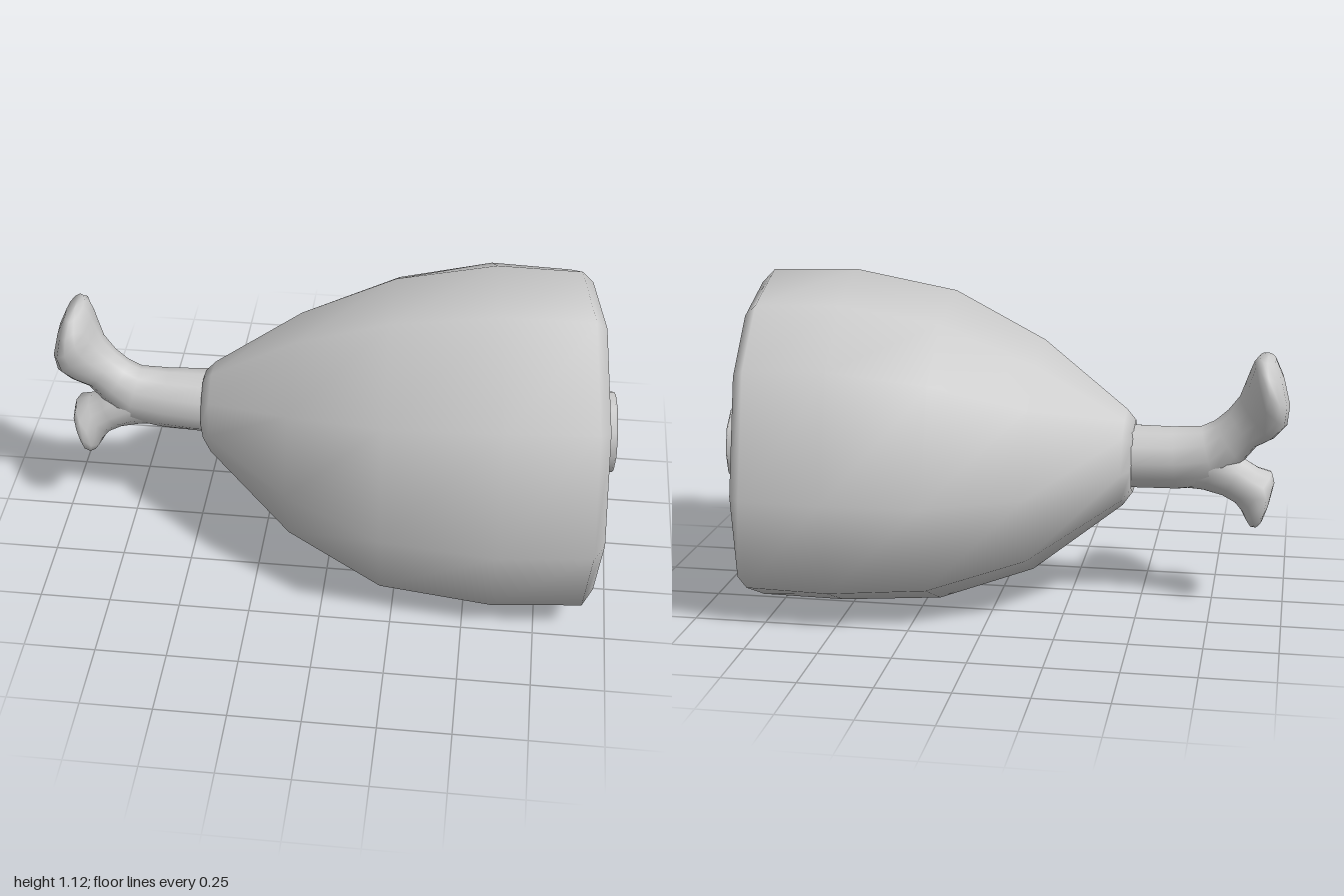
import * as THREE from 'three';

const V = (x, y, z) => new THREE.Vector3(x, y, z);

// Smooth skin over a list of rings that all have the same number of points
function loft(name, rings) {
  const n = rings[0].length;
  const index = [];
  for (let i = 0; i < rings.length - 1; i++) {
    for (let j = 0; j < n; j++) {
      const k = (j + 1) % n;
      const a = i * n + j, b = i * n + k, c = a + n, d = b + n;
      index.push(a, b, c, b, d, c);
    }
  }
  const geometry = new THREE.BufferGeometry().setFromPoints(rings.flat());
  geometry.setIndex(index);
  geometry.computeVertexNormals();
  const mesh = new THREE.Mesh(geometry, new THREE.MeshStandardMaterial({ color: 0xcccccc }));
  mesh.name = name;
  return mesh;
}

// Elliptic ring from an upper and a lower outline point, with a half depth in z
function boneRing([px, py, qx, qy, half, cz = -0.027], sides = 12) {
  const ring = [];
  for (let j = 0; j < sides; j++) {
    const t = (j / sides) * Math.PI * 2;
    const u = (1 + Math.cos(t)) / 2;
    ring.push(V(qx + (px - qx) * u, qy + (py - qy) * u, cz - half * Math.sin(t)));
  }
  return ring;
}

// Ten-sided cross-section of the meat as [z, y]
const SECTION = [
  [0.2, 1.12], [0.51, 0.88], [0.64, 0.465], [0.505, 0.13], [0.19, 0.012],
  [-0.23, 0.012], [-0.545, 0.145], [-0.637, 0.48], [-0.48, 0.89], [-0.2, 1.06],
];

// Section fitted to a y and z range; skew leans the ring in x along z
function meatRing([x, skew, y0, y1, z0, z1]) {
  return SECTION.map(([sz, sy]) => {
    const z = THREE.MathUtils.mapLinear(sz, -0.637, 0.64, z0, z1);
    const y = THREE.MathUtils.mapLinear(sy, 0.012, 1.12, y0, y1);
    return V(x + skew * z, y, z);
  });
}

// Round ring around the cut bone
function cutRing([x, r]) {
  const ring = [];
  for (let j = 0; j < 10; j++) {
    const t = ((j + 0.5) / 10) * Math.PI * 2;
    const z = -0.025 + r * Math.sin(t);
    ring.push(V(x + 0.07 * z, 0.508 + r * Math.cos(t), z));
  }
  return ring;
}

export function createModel() {
  const model = new THREE.Group();
  model.name = 'hamLeg';

  // Meat: narrow neck, swelling body, bevelled rim and dented cut face
  model.add(loft('meat', [
    [-0.44, 0, 0.52, 0.52, -0.025, -0.025],
    [-0.468, 0, 0.405, 0.645, -0.15, 0.1],
    [-0.435, 0, 0.36, 0.68, -0.19, 0.14],
    [-0.13, 0, 0.13, 0.9, -0.405, 0.385],
    [0.2, 0.02, 0.02, 1.055, -0.565, 0.575],
    [0.56, 0.08, 0.004, 1.12, -0.64, 0.635],
    [0.86, 0.11, 0.008, 1.113, -0.628, 0.6],
    [0.9, 0.115, 0.045, 1.07, -0.59, 0.535],
    [0.908, 0.115, 0.13, 0.98, -0.5, 0.45],
    [0.905, 0.115, 0.25, 0.82, -0.33, 0.29],
    [0.87, 0.115, 0.36, 0.66, -0.17, 0.12],
    [0.86, 0.115, 0.51, 0.51, -0.025, -0.025],
  ].map(meatRing)));

  // Cut bone end with a marrow hollow
  model.add(loft('cutBone', [
    [0.84, 0.148], [0.985, 0.148], [0.992, 0.138], [0.992, 0.09],
    [0.98, 0.08], [0.9, 0.075], [0.89, 0],
  ].map(cutRing)));

  // Shank running into the large upper knuckle
  model.add(loft('shankAndUpperKnuckle', [
    [-0.38, 0.64, -0.38, 0.41, 0.12],
    [-0.48, 0.638, -0.48, 0.412, 0.117],
    [-0.6, 0.637, -0.62, 0.412, 0.1],
    [-0.7, 0.643, -0.76, 0.43, 0.085],
    [-0.745, 0.665, -0.845, 0.52, 0.082],
    [-0.79, 0.705, -0.89, 0.577, 0.085],
    [-0.828, 0.755, -0.95, 0.61, 0.105],
    [-0.848, 0.81, -0.993, 0.66, 0.135],
    [-0.862, 0.85, -1.0, 0.73, 0.15],
    [-0.874, 0.88, -0.978, 0.82, 0.135],
    [-0.89, 0.897, -0.948, 0.888, 0.09],
    [-0.918, 0.898, -0.918, 0.898, 0],
  ].map((r) => boneRing(r))));

  // Smaller lower knuckle branching off the shank
  model.add(loft('lowerKnuckle', [
    [-0.64, 0.6, -0.64, 0.418, 0.07],
    [-0.78, 0.59, -0.71, 0.413, 0.08],
    [-0.855, 0.53, -0.775, 0.398, 0.078],
    [-0.9, 0.502, -0.82, 0.375, 0.085],
    [-0.947, 0.488, -0.845, 0.345, 0.1],
    [-0.957, 0.45, -0.86, 0.315, 0.11],
    [-0.942, 0.38, -0.877, 0.293, 0.095],
    [-0.922, 0.32, -0.892, 0.29, 0.05],
    [-0.905, 0.298, -0.905, 0.298, 0],
  ].map((r) => boneRing(r))));

  return model;
}
